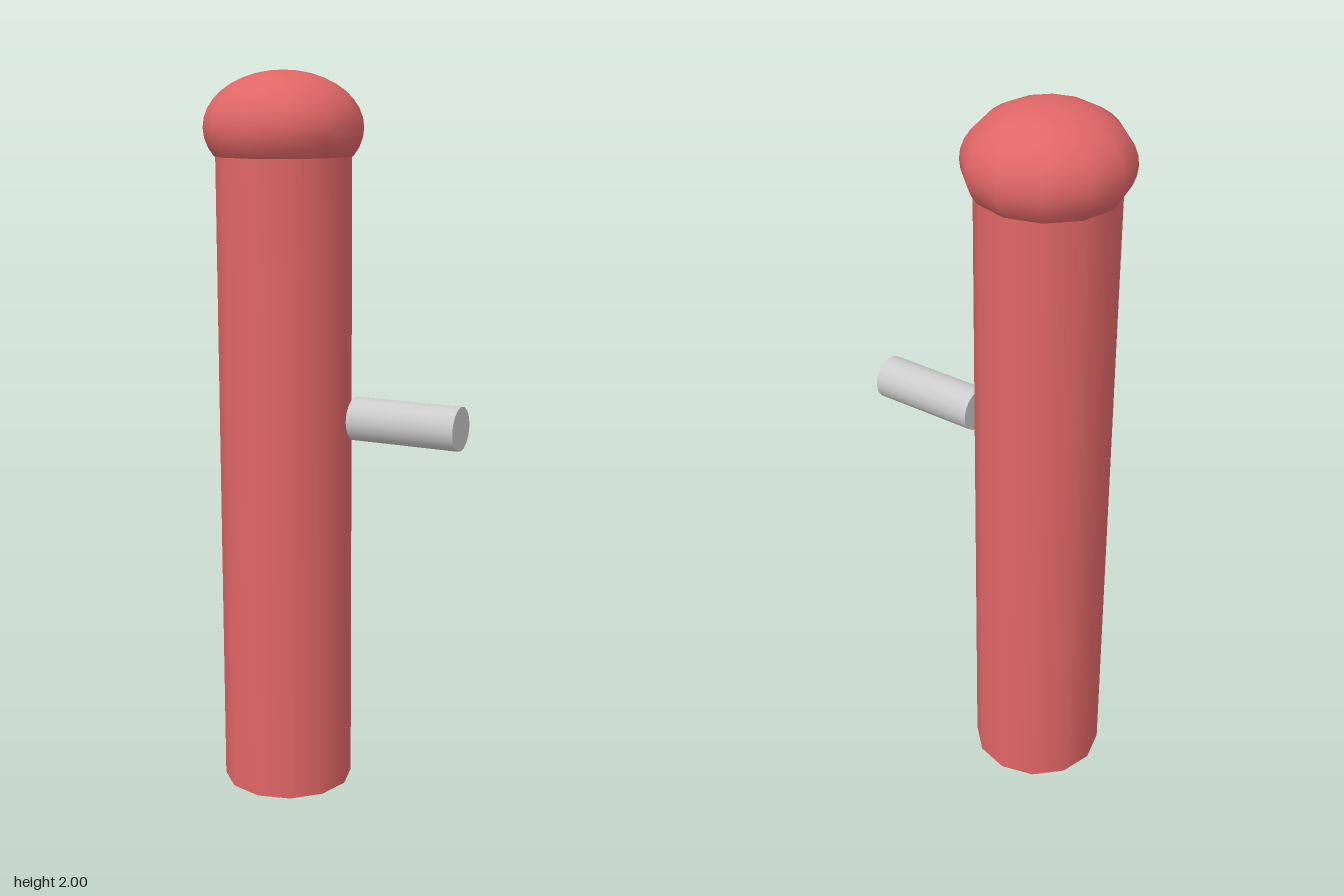
import * as THREE from 'three';

export function createModel() {
  const model = new THREE.Group();
  const red = new THREE.MeshStandardMaterial({ color: 0xe06666 });
  const grey = new THREE.MeshStandardMaterial({ color: 0xcccccc });
  const postX = -0.155;

  const add = (name, geometry, material, x, y) => {
    const mesh = new THREE.Mesh(geometry, material);
    mesh.name = name;
    mesh.position.set(x, y, 0);
    model.add(mesh);
    return mesh;
  };

  // Twelve-sided upright post
  const postHeight = 1.78;
  add('post', new THREE.CylinderGeometry(0.183, 0.183, postHeight, 12), red, postX, postHeight / 2);

  // Flattened dome cap, tucked in below its widest ring to meet the post
  const dome = new THREE.SphereGeometry(0.215, 12, 12, 0, Math.PI * 2, 0, Math.PI * 2 / 3);
  add('domeCap', dome, red, postX, 1.85).scale.y = 0.15 / 0.215;

  // Short side pin, standing just clear of the post
  const pin = new THREE.CylinderGeometry(0.06, 0.06, 0.308, 16).rotateZ(-Math.PI / 2);
  add('sidePin', pin, grey, 0.214, 1.08);

  return model;
}
